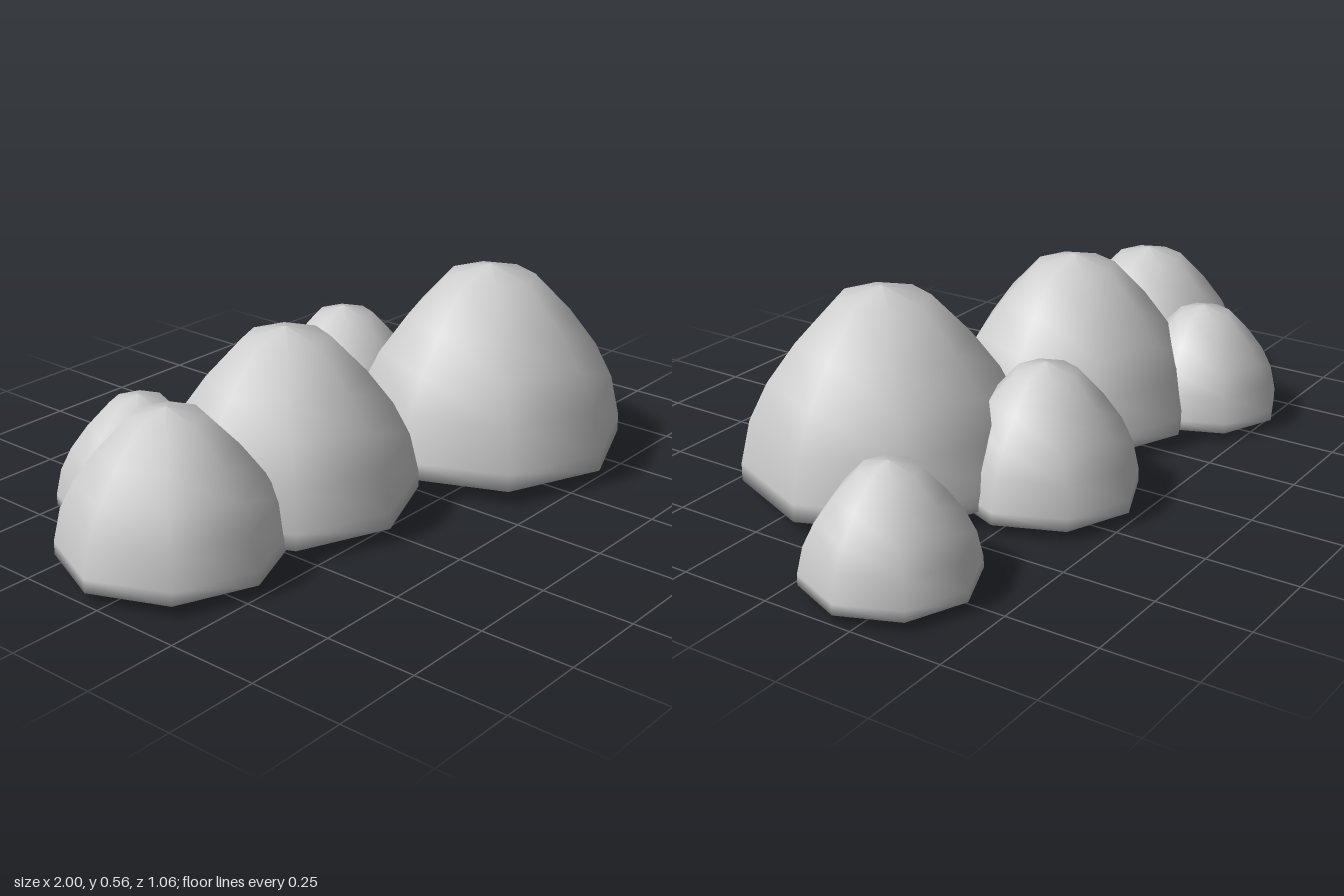
import * as THREE from 'three';

// Half outline of a bush, as fractions of its radius and height, bottom to top
const PROFILE = [
  [0, 0], [0.7, 0.026], [1, 0.078], [1, 0.165], [0.93, 0.38],
  [0.8, 0.56], [0.6, 0.745], [0.33, 0.94], [0, 1],
];

// Each bush: name, x, z, radius, height
const BUSHES = [
  ['largestBush', 0.34, 0.15, 0.38, 0.555],
  ['middleBush', -0.29, -0.035, 0.345, 0.505],
  ['rightEndBush', -0.71, -0.04, 0.29, 0.415],
  ['rightBackBush', -0.555, -0.31, 0.225, 0.33],
  ['centreBackBush', 0.19, -0.25, 0.25, 0.385],
  ['leftEndBush', 0.78, -0.2, 0.22, 0.325],
];

export function createModel() {
  const group = new THREE.Group();
  group.name = 'bushCluster';
  const material = new THREE.MeshStandardMaterial({ color: 0xcccccc });

  // Eight-sided, smoothly shaded domes with a shallow rounded underside
  for (const [name, x, z, radius, height] of BUSHES) {
    const points = PROFILE.map(([r, y]) => new THREE.Vector2(r * radius, y * height));
    const bush = new THREE.Mesh(new THREE.LatheGeometry(points, 8), material);
    bush.name = name;
    bush.position.set(x, 0, z);
    group.add(bush);
  }
  return group;
}
